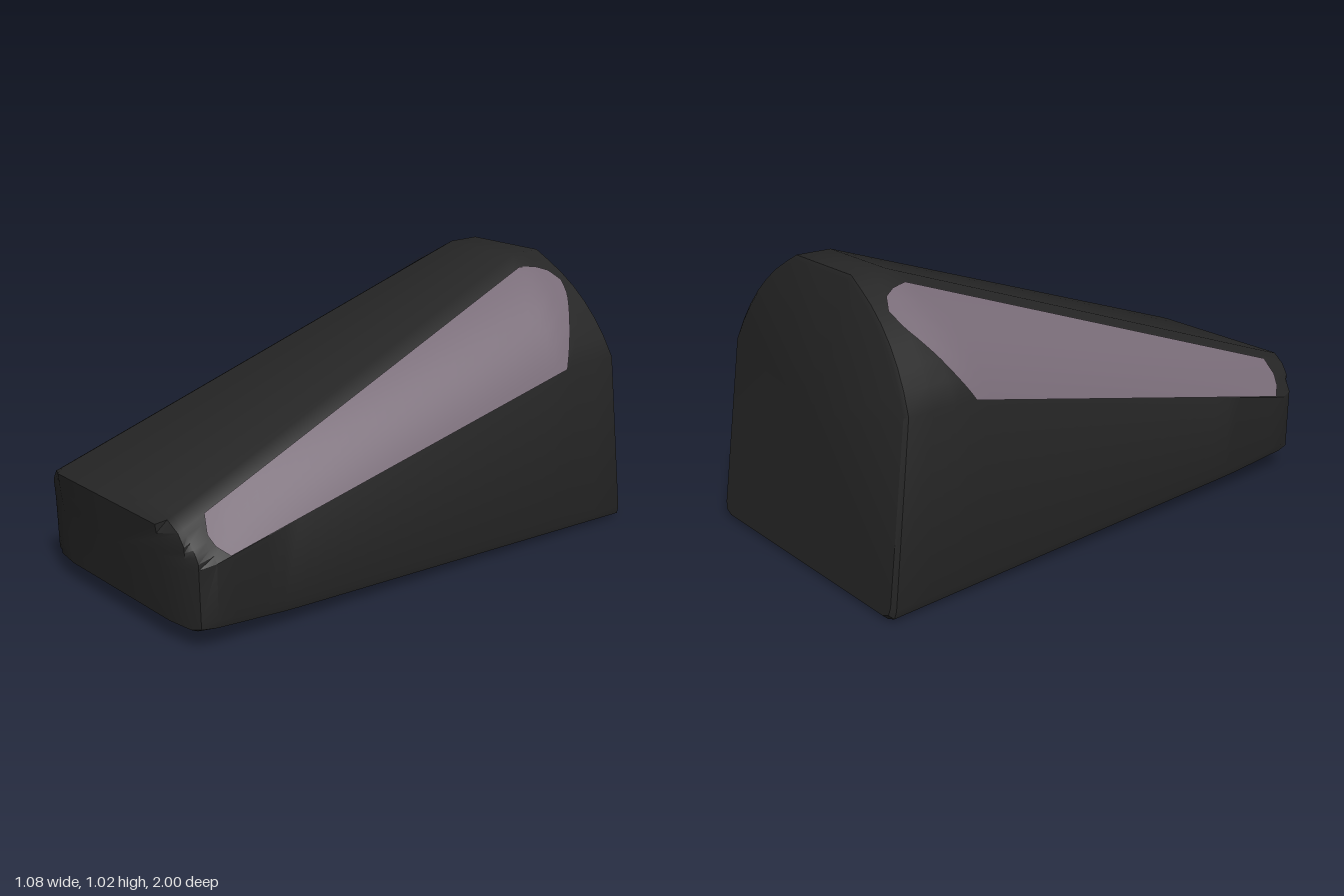
import * as THREE from 'three';
import { toCreasedNormals } from 'three/addons/utils/BufferGeometryUtils.js';

const { clamp, lerp, mapLinear } = THREE.MathUtils;

// Piecewise linear lookup through [input, output] pairs
function pick(pairs, t) {
  let i = 1;
  while (i < pairs.length - 1 && t > pairs[i][0]) i++;
  const [a, b] = [pairs[i - 1], pairs[i]];
  return mapLinear(clamp(t, a[0], b[0]), a[0], b[0], a[1], b[1]);
}

// Main dimensions of the wedge at depth z
function dims(z) {
  return {
    bottom: pick([[-1, 0], [0.6, 0.045], [0.96, 0.07]], z),
    top: Math.min(1.02, 1.02 - 0.351 * (z + 0.73)),
    halfWidth: 0.498 - 0.042 * z,
    shoulderX: Math.min(0.525, 0.498 - 0.042 * z),
    shoulderY: Math.min(0.66, 0.31 + 0.233 * (0.83 - z)),
    topX: 0.365 - 0.0906 * (0.87 - Math.max(z, -0.73)),
    bulge: 0.04 * clamp((0.83 - z) / 1.5, 0, 1),
  };
}

// Point on the bulged slope between shoulder (v = 0) and top edge (v = 1)
function slopePoint(z, v, offset = 0) {
  const d = dims(z);
  const out = d.bulge * 4 * v * (1 - v) + offset;
  return [
    lerp(d.shoulderX, d.topX, v) + 0.72 * out,
    lerp(d.shoulderY, d.top - 0.03, v) + 0.69 * out,
  ];
}

// Closed cross-section, counter-clockwise seen from the front
function section(z, limit) {
  const d = dims(z);
  const half = [
    [d.halfWidth - 0.04, d.bottom],
    [d.halfWidth - 0.008, d.bottom + 0.012],
    [d.halfWidth, d.bottom + 0.04],
  ];
  for (let k = 0; k <= 6; k++) half.push(slopePoint(z, k / 6));
  half.push([d.topX - 0.055, d.top]);
  const right = half.map(([x, y]) => [Math.min(x, limit), y]);
  const left = right.map(([x, y]) => [-x, y]).reverse();
  return [[0, d.bottom], ...right, [0, d.top], ...left];
}

function makeGeometry(positions, indices) {
  const g = new THREE.BufferGeometry();
  g.setAttribute('position', new THREE.Float32BufferAttribute(positions, 3));
  g.setIndex(indices);
  g.computeVertexNormals();
  return g;
}

// Wedge body lofted from back to front, with leaning end faces
function bodyGeometry() {
  // Each station: base z, lean of z per unit of height, width limit, scale
  const stations = [[-1, 0.13, 9, 0.975], [-0.985, 0.122, 9, 1], [-0.85, 0.06, 9, 1], [-0.73, 0, 9, 1], [-0.672, 0, 9, 1]];
  for (let i = 1; i <= 24; i++) stations.push([lerp(-0.672, 0.88, i / 24), 0, 9, 1]);
  stations.push([0.93, 0.02, 0.44, 1], [0.94, 0.06, 0.4, 1], [0.95, 0.12, 0.3, 1]);

  const positions = [], indices = [];
  let n = 0;
  for (const [z, lean, limit, scale] of stations) {
    const ring = section(z > 0.9 ? z + lean * 0.4 : z, limit);
    n = ring.length;
    for (const [x, y] of ring) {
      const sy = 0.5 + (y - 0.5) * scale;
      positions.push(x * scale, sy, z + lean * sy);
    }
  }
  for (let i = 0; i < stations.length - 1; i++) {
    for (let j = 0; j < n; j++) {
      const a = i * n + j, b = i * n + ((j + 1) % n);
      indices.push(a, b, a + n, b, b + n, a + n);
    }
  }
  // End faces
  const last = (stations.length - 1) * n;
  const back = positions.length / 3, front = back + 1;
  positions.push(0, 0.5, -1 + 0.13 * 0.5, 0, 0.25, 0.95 + 0.12 * 0.25);
  for (let j = 0; j < n; j++) {
    const k = (j + 1) % n;
    indices.push(back, k, j, front, last + j, last + k);
  }
  return toCreasedNormals(makeGeometry(positions, indices), 0.6);
}

// Thin coloured panel following the slope, with rounded ends
function panelGeometry(side) {
  const rows = 16, cols = 40, positions = [], indices = [];
  for (let r = 0; r <= rows; r++) {
    const v = r / rows;
    const z0 = pick([[0, -0.65], [0.3, -0.73], [0.6, -0.81], [0.75, -0.83], [0.9, -0.8], [1, -0.7]], v);
    const z1 = pick([[0, 0.83], [0.3, 0.865], [0.6, 0.878], [1, 0.86]], v);
    for (let c = 0; c <= cols; c++) {
      const z = lerp(z0, z1, c / cols);
      const [x, y] = slopePoint(z, v, 0.006);
      positions.push(side * x, y, z);
    }
  }
  for (let r = 0; r < rows; r++) {
    for (let c = 0; c < cols; c++) {
      const a = r * (cols + 1) + c, b = a + cols + 1;
      if (side > 0) indices.push(a, b, a + 1, b, b + 1, a + 1);
      else indices.push(a, a + 1, b, b, a + 1, b + 1);
    }
  }
  return makeGeometry(positions, indices);
}

export function createModel() {
  const group = new THREE.Group();
  group.name = 'wedge';
  const black = new THREE.MeshStandardMaterial({ color: 0x252525 });
  black.name = 'black';
  const mauve = new THREE.MeshStandardMaterial({ color: 0x786b77 });
  mauve.name = 'mauveGrey';

  const body = new THREE.Mesh(bodyGeometry(), black);
  body.name = 'body';
  group.add(body);

  for (const [name, side] of [['leftPanel', 1], ['rightPanel', -1]]) {
    const panel = new THREE.Mesh(panelGeometry(side), mauve);
    panel.name = name;
    group.add(panel);
  }
  return group;
}
